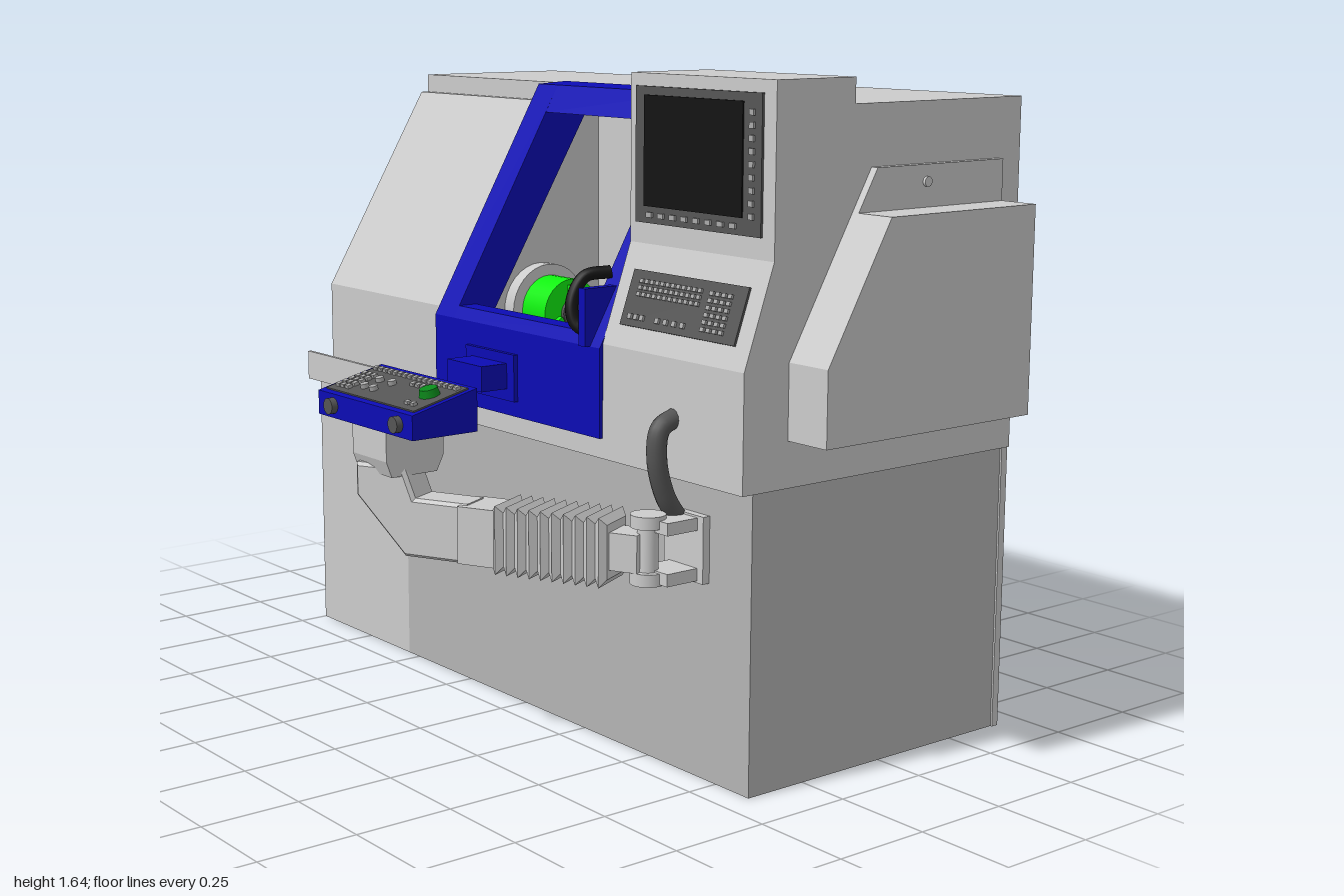
import * as THREE from 'three';

const mat = (color) => new THREE.MeshStandardMaterial({ color });
const GREY = mat(0xcccccc), SHADE = mat(0xb4b4b4), BLUE = mat(0x0c0cb4), GREEN = mat(0x10f010);
const DARK = mat(0x555555), BLACK = mat(0x141414), KEY = mat(0xaaaaaa);

function add(parent, name, geometry, material = GREY) {
  const mesh = new THREE.Mesh(geometry, material);
  mesh.name = name;
  parent.add(mesh);
  return mesh;
}

// box given by its extents
function box(parent, name, [x0, x1], [y0, y1], [z0, z1], material) {
  const g = new THREE.BoxGeometry(x1 - x0, y1 - y0, z1 - z0);
  g.translate((x0 + x1) / 2, (y0 + y1) / 2, (z0 + z1) / 2);
  return add(parent, name, g, material);
}

// side profile of [z, y] points drawn out along x
function profile(parent, name, [x0, x1], points, material) {
  const shape = new THREE.Shape(points.map(([z, y]) => new THREE.Vector2(z, y)));
  const g = new THREE.ExtrudeGeometry(shape, { depth: x1 - x0, bevelEnabled: false });
  g.rotateY(-Math.PI / 2).translate(x1, 0, 0);
  return add(parent, name, g, material);
}

function cylinder(parent, name, r, h, [x, y, z], axis = 'y', material = GREY, rTop = r) {
  const g = new THREE.CylinderGeometry(rTop, r, h, 32);
  if (axis === 'x') g.rotateZ(-Math.PI / 2);
  if (axis === 'z') g.rotateX(Math.PI / 2);
  g.translate(x, y, z);
  return add(parent, name, g, material);
}

function tube(parent, name, points, r, material = GREY) {
  const curve = new THREE.CatmullRomCurve3(points.map((p) => new THREE.Vector3(...p)));
  return add(parent, name, new THREE.TubeGeometry(curve, 32, r, 14), material);
}

// grid of small keys on a local xy plane
function keys(parent, x0, y0, cols, rows, dx, dy, w, h, z = 0.008) {
  for (let i = 0; i < cols; i++) for (let j = 0; j < rows; j++) {
    const x = x0 + i * dx, y = y0 + j * dy;
    box(parent, 'key', [x - w / 2, x + w / 2], [y - h / 2, y + h / 2], [z - 0.004, z + 0.004], KEY);
  }
}

function buildBody(root) {
  const g = new THREE.Group();
  g.name = 'machineBody';
  root.add(g);
  box(g, 'baseLeft', [-1, -0.55], [0, 0.72], [-0.66, 0.17]);
  box(g, 'baseRight', [-0.55, 0.865], [0, 0.72], [-0.66, 0.17], SHADE);
  box(g, 'backPanel', [-1, 0.87], [0, 1.55], [-0.67, -0.65]);
  profile(g, 'leftGuard', [-0.995, -0.32], [[0.13, 0.72], [0.13, 0.99], [-0.19, 1.53], [-0.65, 1.53], [-0.65, 0.72]]);
  box(g, 'chamberBack', [-0.32, 0.37], [0.72, 1.53], [-0.65, -0.32]);
  box(g, 'topCover', [-0.99, 0.37], [1.53, 1.58], [-0.67, -0.21]);
  // drip tray in front of the guard
  box(g, 'trayFloor', [-1, 0.37], [0.72, 0.735], [0.12, 0.21]);
  box(g, 'trayLip', [-1, 0.37], [0.735, 0.8], [0.2, 0.21]);
  profile(g, 'controlCabinet', [0.37, 0.875], [[0.21, 0.72], [0.21, 1], [0.125, 1.24], [0.125, 1.64],
    [-0.115, 1.64], [-0.115, 1.58], [-0.67, 1.58], [-0.67, 0.72]]);
  // side housing on the right end
  profile(g, 'sidePlate', [0.87, 0.895], [[0.075, 0.83], [0.075, 1.01], [-0.17, 1.435], [-0.59, 1.435], [-0.59, 0.83]]);
  profile(g, 'sideHousing', [0.89, 1], [[0.075, 0.83], [0.075, 1.01], [-0.112, 1.335], [-0.59, 1.335], [-0.59, 0.83]]);
  cylinder(g, 'sideLock', 0.012, 0.01, [0.897, 1.395, -0.33], 'x');
}

function buildDoor(root) {
  const g = new THREE.Group();
  g.name = 'door';
  root.add(g);
  const rail = [[0.22, 0.77], [0.22, 0.99], [-0.12, 1.58], [-0.21, 1.585], [-0.21, 1.5], [0.12, 0.95], [0.12, 0.77]];
  profile(g, 'doorRailLeft', [-0.325, -0.24], rail, BLUE);
  profile(g, 'doorRailRight', [0.29, 0.372], rail, BLUE);
  profile(g, 'doorHeader', [-0.24, 0.29], [[-0.08, 1.51], [-0.12, 1.58], [-0.21, 1.585], [-0.21, 1.51]], BLUE);
  profile(g, 'doorSill', [-0.24, 0.29], [[0.22, 0.77], [0.22, 0.99], [0.203, 1.02], [0.15, 1.02], [0.15, 0.77]], BLUE);
  box(g, 'doorGrip', [-0.14, 0.01], [0.84, 0.905], [0.22, 0.31], BLUE);
  box(g, 'gripPlate', [-0.17, 0.04], [0.81, 0.93], [0.22, 0.232], BLUE);
  // black pull handle on the right rail
  tube(g, 'pullHandle', [[0.3, 1.16, 0.13], [0.275, 1.15, 0.19], [0.27, 1.09, 0.225], [0.285, 1.04, 0.225], [0.32, 1.015, 0.2]], 0.016, BLACK);
  box(g, 'handlePost', [0.31, 0.335], [0.99, 1.13], [0.14, 0.235], BLUE);
}

function buildInterior(root) {
  const g = new THREE.Group();
  g.name = 'workArea';
  root.add(g);
  profile(g, 'slantBed', [-0.14, 0.37], [[-0.33, 0.72], [0.02, 0.72], [0.02, 0.75], [-0.33, 1.01]]);
  cylinder(g, 'spindleNose', 0.12, 0.04, [-0.3, 0.98, -0.12], 'x');
  cylinder(g, 'chuck', 0.09, 0.1, [-0.23, 0.98, -0.12], 'x', GREEN);
  cylinder(g, 'chuckBore', 0.035, 0.02, [-0.18, 0.98, -0.12], 'x', DARK);
  for (let i = 0; i < 3; i++) {
    const a = (i * Math.PI * 2) / 3;
    const jaw = box(g, 'chuckJaw', [-0.19, -0.165], [0.04, 0.075], [-0.015, 0.015], GREEN);
    jaw.position.set(0, 0.98, -0.12);
    jaw.rotation.x = a;
  }
  box(g, 'toolPost', [-0.13, 0.01], [0.88, 0.96], [-0.09, -0.05], DARK);
  box(g, 'toolStem', [-0.085, -0.065], [0.82, 0.9], [-0.06, 0.03], DARK);
  box(g, 'guideBar', [-0.24, 0.08], [0.79, 0.82], [-0.015, 0.015], GREEN);
  // coolant head near the right wall
  box(g, 'coolantHead', [0.22, 0.3], [1.12, 1.19], [-0.22, -0.14]);
  box(g, 'coolantNozzle', [0.24, 0.28], [1.06, 1.21], [-0.2, -0.16]);
  box(g, 'coolantArm', [0.28, 0.37], [1.13, 1.17], [-0.2, -0.16]);
}

function buildControls(root) {
  const screen = new THREE.Group();
  screen.name = 'screenUnit';
  screen.position.set(0, 0, 0.125);
  root.add(screen);
  box(screen, 'screenBezel', [0.395, 0.835], [1.29, 1.61], [0, 0.006], DARK);
  box(screen, 'screen', [0.43, 0.775], [1.33, 1.59], [0, 0.01], BLACK);
  keys(screen, 0.805, 1.335, 1, 9, 0, 0.029, 0.015, 0.014);
  keys(screen, 0.45, 1.31, 8, 1, 0.042, 0, 0.02, 0.012);

  const board = new THREE.Group();
  board.name = 'keyboard';
  board.position.set(0.622, 1.115, 0.169);
  board.rotation.x = -0.34;
  root.add(board);
  box(board, 'keyboardPlate', [-0.203, 0.203], [-0.068, 0.068], [-0.005, 0.006], DARK);
  keys(board, -0.16, 0.01, 12, 3, 0.019, 0.016, 0.012, 0.01);
  keys(board, 0.09, -0.045, 4, 6, 0.021, 0.017, 0.013, 0.01);
  keys(board, -0.17, -0.045, 3, 1, 0.022, 0, 0.013, 0.013);
  keys(board, -0.07, -0.045, 4, 1, 0.03, 0, 0.013, 0.013);
}

function buildArm(root) {
  // wall bracket, hinge and cable hose
  for (const y of [0.5, 0.62]) box(root, 'bracketPlate', [0.6, 0.7], [y - 0.015, y + 0.015], [0.17, 0.28]);
  box(root, 'bracketBack', [0.58, 0.72], [0.48, 0.64], [0.165, 0.19]);
  cylinder(root, 'hingePin', 0.025, 0.165, [0.63, 0.56, 0.28]);
  for (const y of [0.495, 0.63]) cylinder(root, 'hingeCap', 0.042, 0.03, [0.63, y, 0.28]);
  tube(root, 'cableHose', [[0.63, 0.62, 0.19], [0.63, 0.68, 0.23], [0.63, 0.77, 0.255], [0.63, 0.84, 0.245], [0.63, 0.865, 0.19]], 0.024, DARK);

  const arm = new THREE.Group();
  arm.name = 'swingArm';
  arm.position.set(0.63, 0.555, 0.28);
  arm.rotation.y = 0.46;
  root.add(arm);
  box(arm, 'armRoot', [-0.1, -0.01], [-0.045, 0.045], [-0.04, 0.04]);
  // square folded bellows
  const folds = 10, pts = [];
  for (let i = 0; i <= folds * 2; i++) pts.push(new THREE.Vector2(i % 2 ? 0.118 : 0.092, (i * 0.3) / (folds * 2)));
  const bellows = new THREE.LatheGeometry([new THREE.Vector2(0, 0), ...pts, new THREE.Vector2(0, 0.3)], 4).toNonIndexed();
  bellows.rotateY(Math.PI / 4).rotateZ(Math.PI / 2).scale(1, 1, 0.8).translate(-0.08, 0, 0);
  bellows.computeVertexNormals();
  add(arm, 'bellows', bellows);
  box(arm, 'armSleeve', [-0.47, -0.37], [-0.07, 0.07], [-0.06, 0.06]);
  // elbow turning up to the pendant
  const elbow = new THREE.Shape([[-0.46, -0.065], [-0.62, -0.065], [-0.75, 0.07], [-0.75, 0.14], [-0.63, 0.14], [-0.6, 0.065], [-0.46, 0.065]]
    .map(([x, y]) => new THREE.Vector2(x, y)));
  const g = new THREE.ExtrudeGeometry(elbow, { depth: 0.08, bevelEnabled: true, bevelSize: 0.008, bevelThickness: 0.01, bevelSegments: 1 });
  add(arm, 'elbow', g.translate(0, 0, -0.04));
}

function buildPendant(root) {
  const g = new THREE.Group();
  g.name = 'pendant';
  root.add(g);
  profile(g, 'pendantNeck', [-0.06, 0.09], [[0.5, 0.68], [0.63, 0.68], [0.645, 0.72], [0.645, 0.795], [0.48, 0.795], [0.48, 0.72]]);
  profile(g, 'pendantCase', [-0.2, 0.22], [[0.47, 0.795], [0.655, 0.795], [0.655, 0.855], [0.47, 0.9]], BLUE);
  for (const x of [-0.13, 0.16]) {
    cylinder(g, 'pendantKnob', 0.02, 0.02, [x, 0.826, 0.662], 'z', DARK);
  }
  // tilted key panel on top
  const panel = new THREE.Group();
  panel.name = 'pendantPanel';
  panel.position.set(0.01, 0.8775, 0.5625);
  panel.rotation.x = -Math.PI / 2 + 0.239;
  g.add(panel);
  box(panel, 'panelPlate', [-0.195, 0.195], [-0.08, 0.08], [-0.004, 0.004], DARK);
  keys(panel, -0.175, 0.06, 17, 1, 0.022, 0, 0.014, 0.014);
  keys(panel, -0.17, -0.055, 3, 5, 0.021, 0.019, 0.016, 0.014);
  keys(panel, 0.035, 0.03, 3, 1, 0.022, 0, 0.014, 0.014);
  keys(panel, 0.135, -0.055, 2, 1, 0.025, 0, 0.014, 0.012);
  for (const [x, y] of [[-0.085, 0.01], [-0.03, 0.01], [-0.085, -0.035], [-0.045, -0.035]]) {
    cylinder(panel, 'selector', 0.011, 0.014, [x, y, 0.008], 'z', KEY);
  }
  cylinder(panel, 'stopButton', 0.026, 0.02, [0.14, 0.005, 0.013], 'z', mat(0x0a8a1a), 0.022);
}

export function createModel() {
  const root = new THREE.Group();
  root.name = 'latheMachine';
  [buildBody, buildDoor, buildInterior, buildControls, buildArm, buildPendant].forEach((build) => build(root));
  return root;
}
